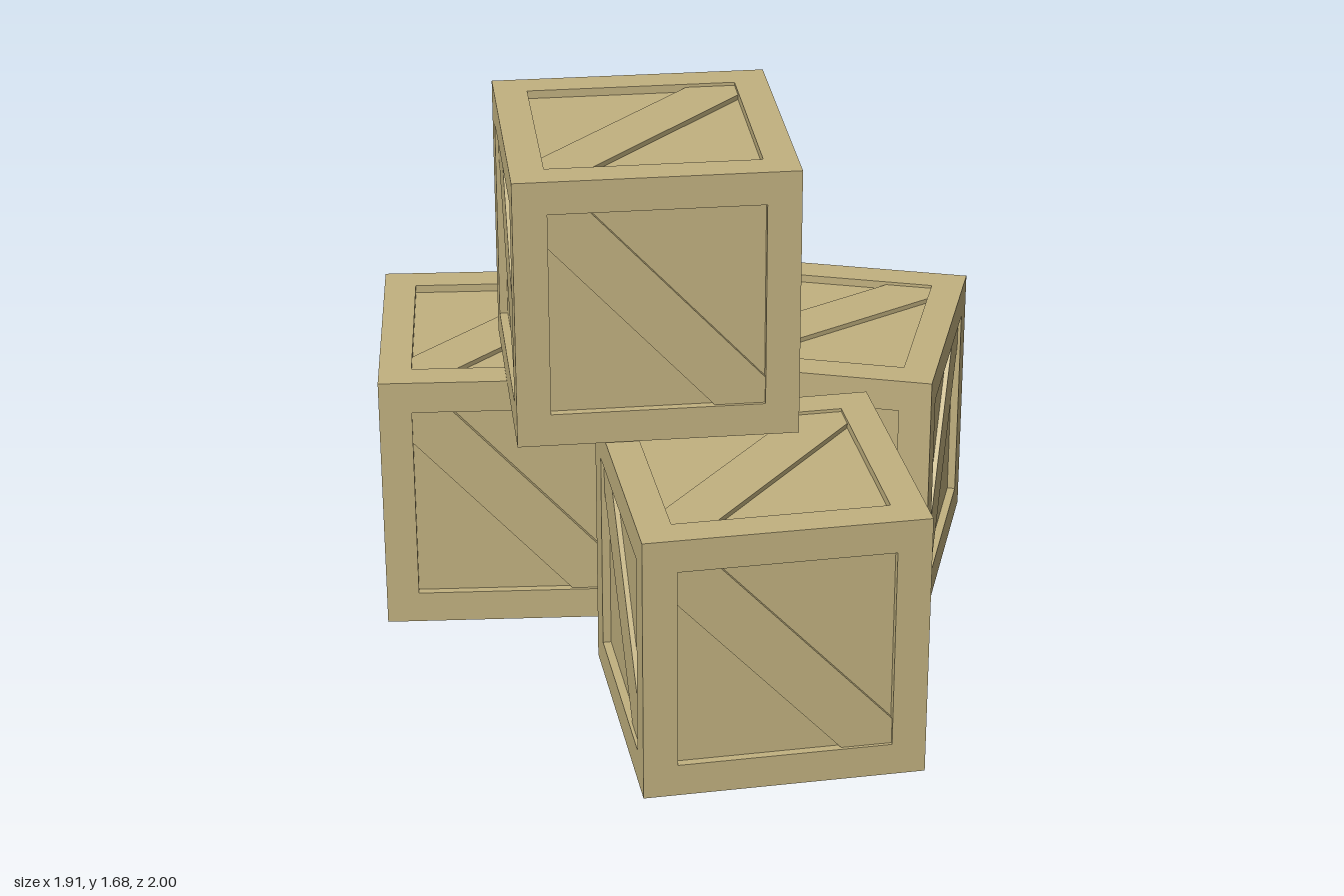
import * as THREE from 'three';

const SIZE = 0.837;      // crate edge length
const BEAM = 0.101;      // frame beam width
const PANEL_INSET = 0.025;
const BRACE_INSET = 0.01;

const wood = new THREE.MeshStandardMaterial({ color: 0xc2b280, flatShading: true });

function addMesh(parent, name, geometry, x = 0, y = 0, z = 0) {
  const mesh = new THREE.Mesh(geometry, wood);
  mesh.name = name;
  mesh.position.set(x, y, z);
  parent.add(mesh);
  return mesh;
}

// Diagonal board running corner to corner through the frame opening,
// showing on two opposite faces
function braceGeometry() {
  const h = SIZE / 2 - BEAM;
  const shape = new THREE.Shape([
    [-h, h], [-h, h - 0.11], [h - 0.15, -h],
    [h, -h], [h, -h + 0.082], [-h + 0.122, h],
  ].map(([x, y]) => new THREE.Vector2(x, y)));
  const depth = SIZE - 2 * BRACE_INSET;
  return new THREE.ExtrudeGeometry(shape, { depth, bevelEnabled: false })
    .translate(0, 0, -depth / 2);
}

function createCrate(name) {
  const crate = new THREE.Group();
  crate.name = name;
  const inner = SIZE - 2 * BEAM;
  const c = (SIZE - BEAM) / 2;

  // Frame: corner posts and the rails between them
  const post = new THREE.BoxGeometry(BEAM, SIZE, BEAM);
  const railX = new THREE.BoxGeometry(inner, BEAM, BEAM);
  const railZ = new THREE.BoxGeometry(BEAM, BEAM, inner);
  for (const a of [-c, c]) {
    for (const b of [-c, c]) {
      addMesh(crate, 'cornerPost', post, a, 0, b);
      addMesh(crate, 'crossRail', railX, 0, a, b);
      addMesh(crate, 'sideRail', railZ, a, b, 0);
    }
  }

  // Recessed panels on all six sides
  const p = SIZE - 2 * PANEL_INSET;
  addMesh(crate, 'panels', new THREE.BoxGeometry(p, p, p));

  // Diagonal braces, one for each pair of opposite faces
  addMesh(crate, 'frontBackBrace', braceGeometry());
  addMesh(crate, 'sideBrace', braceGeometry().rotateY(-Math.PI / 2));
  addMesh(crate, 'topBottomBrace', braceGeometry().rotateX(Math.PI / 2));
  return crate;
}

export function createModel() {
  const model = new THREE.Group();
  model.name = 'crateStack';
  // name, x, base height, z, turn in degrees
  const crates = [
    ['backRightCrate', -0.537, 0, -0.492, 0],
    ['backLeftCrate', 0.44, 0, -0.494, -14.5],
    ['frontCrate', 0.173, 0, 0.527, 7.4],
    ['topCrate', -0.14, 0.841, -0.057, 3.8],
  ];
  for (const [name, x, y, z, turn] of crates) {
    const crate = createCrate(name);
    crate.position.set(x, y + SIZE / 2, z);
    crate.rotation.y = THREE.MathUtils.degToRad(turn);
    model.add(crate);
  }
  return model;
}
